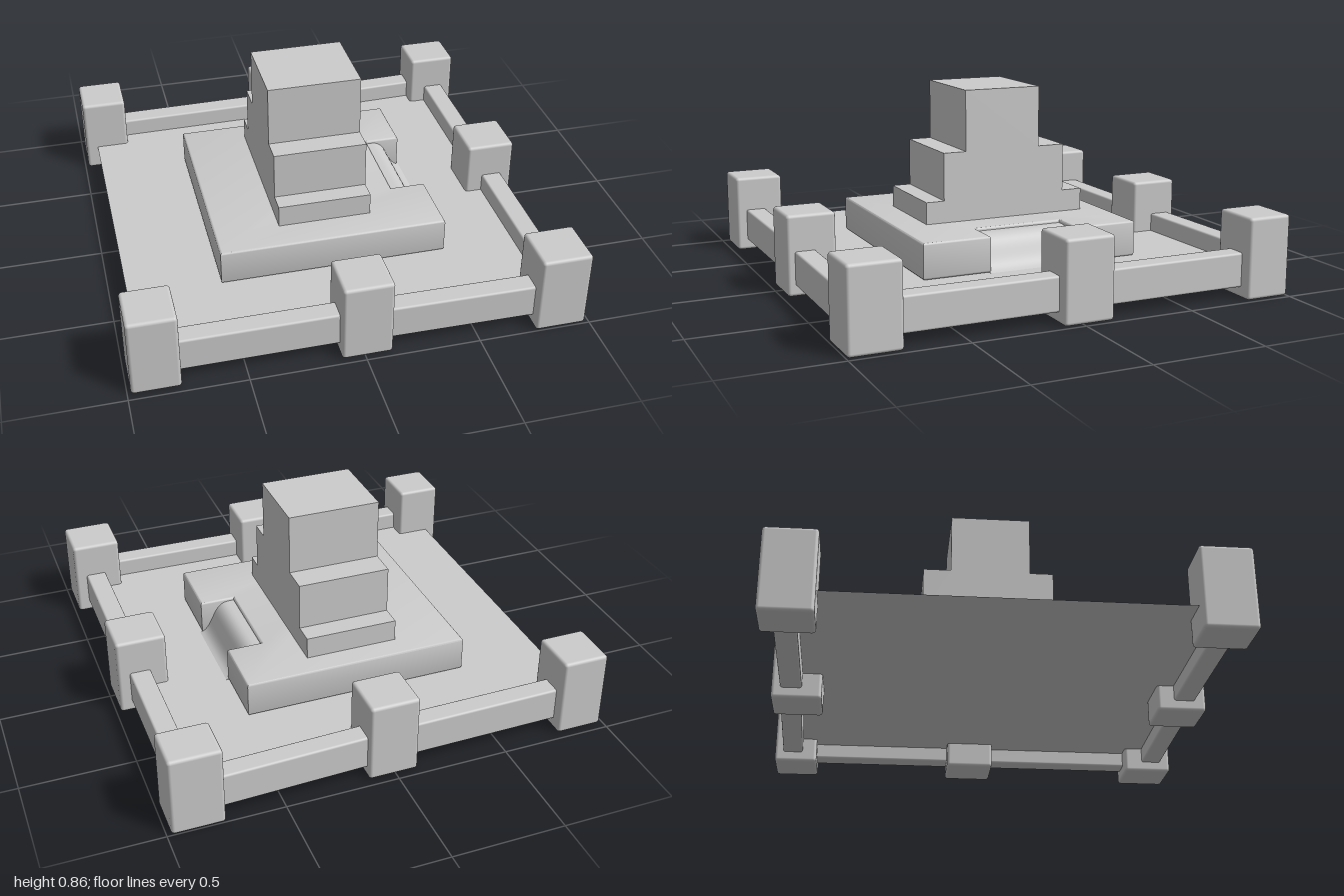
import * as THREE from 'three';
import { RoundedBoxGeometry } from 'three/addons/geometries/RoundedBoxGeometry.js';
import { toCreasedNormals } from 'three/addons/utils/BufferGeometryUtils.js';

const GROUND_Y = 0.12;

export function createModel() {
  const model = new THREE.Group();
  model.name = 'walledTower';
  const stone = new THREE.MeshStandardMaterial({ color: 0xcccccc });
  stone.name = 'light grey stone';
  stone.side = THREE.DoubleSide;

  const add = (name, geometry, parent = model) => {
    const mesh = new THREE.Mesh(geometry, stone);
    mesh.name = name;
    parent.add(mesh);
    return mesh;
  };
  const shapeOf = (points) => new THREE.Shape(points.map(([x, y]) => new THREE.Vector2(x, y)));

  // Thin courtyard floor, open on the -x side
  const floor = new THREE.PlaneGeometry(1.82, 1.77).rotateX(-Math.PI / 2);
  add('courtyardFloor', floor).position.set(-0.02, GROUND_Y, 0);

  // Wall posts: name, centre x, centre z, width, depth
  const posts = new THREE.Group();
  posts.name = 'wallPosts';
  model.add(posts);
  [
    ['frontRightPost', -0.88, 0.86, 0.21, 0.225],
    ['frontMiddlePost', 0.01, 0.865, 0.22, 0.22],
    ['frontLeftPost', 0.868, 0.883, 0.226, 0.228],
    ['leftMiddlePost', 0.868, -0.027, 0.226, 0.226],
    ['backLeftPost', 0.868, -0.898, 0.226, 0.205],
    ['backMiddlePost', 0.01, -0.855, 0.22, 0.222],
    ['backRightPost', -0.88, -0.855, 0.21, 0.222],
  ].forEach(([name, x, z, w, d]) => {
    add(name, new RoundedBoxGeometry(w, 0.36, d, 3, 0.015), posts).position.set(x, 0.184, z);
  });

  // Low walls between post centres, slightly askew
  const walls = new THREE.Group();
  walls.name = 'lowWalls';
  model.add(walls);
  [
    ['frontRightWall', -0.88, 0.878, 0.01, 0.878],
    ['frontLeftWall', 0.01, 0.892, 0.87, 0.903],
    ['backRightWall', -0.88, -0.869, 0.01, -0.881],
    ['backLeftWall', 0.01, -0.886, 0.87, -0.916],
    ['leftFrontWall', 0.88, 0.88, 0.88, -0.03],
    ['leftBackWall', 0.88, -0.03, 0.88, -0.9],
  ].forEach(([name, x1, z1, x2, z2]) => {
    const length = Math.hypot(x2 - x1, z2 - z1);
    const wall = add(name, new RoundedBoxGeometry(length, 0.152, 0.095, 2, 0.01), walls);
    wall.position.set((x1 + x2) / 2, 0.127, (z1 + z2) / 2);
    wall.rotation.y = -Math.atan2(z2 - z1, x2 - x1);
  });

  // Square platform with a notch for the ramp (outline in x and -z)
  const bevel = 0.01;
  const outline = shapeOf([
    [-0.52, -0.5], [0.5, -0.5], [0.5, -0.19], [0.34, -0.19],
    [0.34, 0.22], [0.5, 0.22], [0.5, 0.515], [-0.52, 0.515],
  ]);
  const platform = new THREE.ExtrudeGeometry(outline, {
    depth: 0.28 - GROUND_Y - 2 * bevel,
    bevelThickness: bevel, bevelSize: bevel, bevelOffset: -bevel, bevelSegments: 3,
  }).rotateX(-Math.PI / 2);
  add('platform', toCreasedNormals(platform, 0.7)).position.y = GROUND_Y + bevel + 0.001;

  // Curved ramp from the platform down to the floor
  const profile = new THREE.Shape();
  profile.moveTo(0.34, GROUND_Y + 0.001);
  profile.lineTo(0.51, GROUND_Y + 0.001);
  profile.bezierCurveTo(0.44, 0.14, 0.45, 0.265, 0.37, 0.267);
  profile.lineTo(0.34, 0.267);
  const ramp = new THREE.ExtrudeGeometry(profile, { depth: 0.42, bevelEnabled: false, curveSegments: 14 });
  add('curvedRamp', toCreasedNormals(ramp, 0.6)).position.z = -0.225;

  // Stepped tower, flush on its two sides (profile in -z and y)
  const steps = shapeOf([
    [-0.36, 0.275], [0.41, 0.275], [0.41, 0.38], [0.315, 0.38], [0.315, 0.595],
    [0.19, 0.595], [0.19, 0.868], [-0.17, 0.868], [-0.17, 0.595],
    [-0.275, 0.595], [-0.275, 0.38], [-0.36, 0.38],
  ]);
  const tower = new THREE.ExtrudeGeometry(steps, { depth: 0.42, bevelEnabled: false }).rotateY(Math.PI / 2);
  add('steppedTower', tower).position.x = -0.23;

  return model;
}
